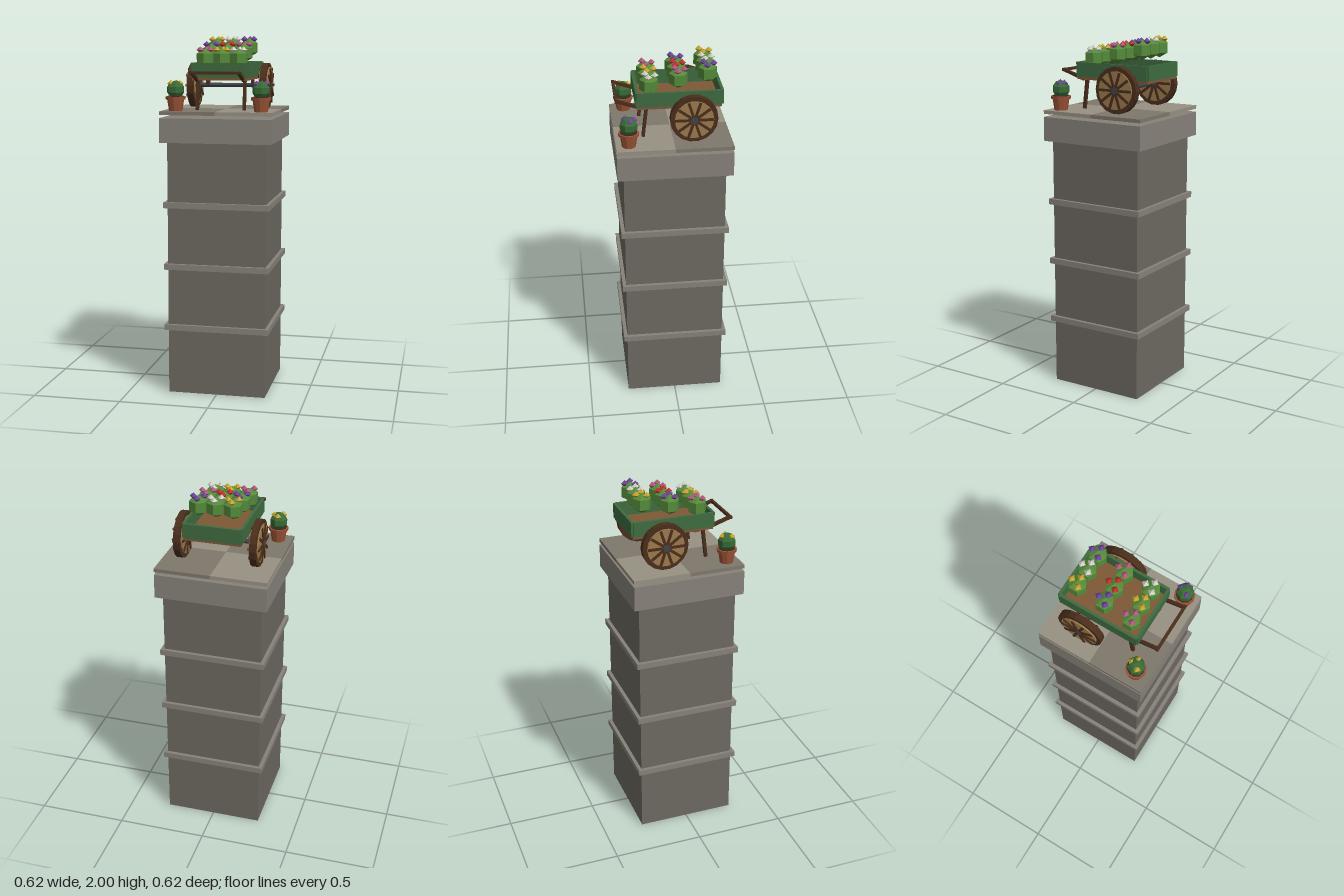
import * as THREE from 'three';

const C = {
  stone: 0x6d6961, trim: 0x87827a, tileLight: 0x989182, tileDark: 0x7f786c,
  green: 0x3f6b40, wood: 0x7d5836, dark: 0x4a2e1c, tan: 0x9c7a4c, iron: 0x3f444a,
  leaf: 0x558a3a, leafDark: 0x396b37, clay: 0x9a5236, soil: 0x3a2a1c,
  gold: 0xc9a630, white: 0xd2d0c8, purple: 0x6c4499, red: 0xc0302a, pink: 0xb2587f,
};
const mats = {};
const mat = (name) => (mats[name] ??= new THREE.MeshStandardMaterial({ color: C[name], flatShading: true }));

function add(parent, name, geometry, color, x = 0, y = 0, z = 0) {
  const mesh = new THREE.Mesh(geometry, mat(color));
  mesh.name = name;
  mesh.position.set(x, y, z);
  parent.add(mesh);
  return mesh;
}
const box = (w, h, d) => new THREE.BoxGeometry(w, h, d);
const cyl = (top, bottom, h, sides) => new THREE.CylinderGeometry(top, bottom, h, sides);

function group(parent, name, x = 0, y = 0, z = 0) {
  const g = new THREE.Group();
  g.name = name;
  g.position.set(x, y, z);
  parent.add(g);
  return g;
}

// Square bar between two points lying in a plane of constant x
function bar(parent, name, x, [y0, z0], [y1, z1], width) {
  const length = Math.hypot(y1 - y0, z1 - z0);
  const mesh = add(parent, name, box(width, length, width), 'dark', x, (y0 + y1) / 2, (z0 + z1) / 2);
  mesh.rotation.x = Math.atan2(z1 - z0, y1 - y0);
}

// Three diamond-shaped blossoms on top of a bush
function blossoms(parent, color, y, spots) {
  for (const [x, z] of spots) {
    add(parent, 'blossom', new THREE.OctahedronGeometry(0.021), color, x, y, z).scale.y = 0.9;
  }
}

function bedPlant(parent, x, y, z, color) {
  const plant = group(parent, 'bedPlant', x, y, z);
  const bush = add(plant, 'bush', new THREE.SphereGeometry(0.058, 6, 3), 'leaf');
  bush.rotation.y = Math.PI / 2;
  bush.scale.y = 0.95;
  blossoms(plant, color, 0.047, [[0, -0.032], [0.028, 0.005], [-0.025, 0.018]]);
}

function pottedPlant(parent, x, z, color) {
  const pot = group(parent, 'pottedPlant', x, 1.593, z);
  add(pot, 'pot', cyl(0.047, 0.037, 0.065, 10), 'clay', 0, 0.0325);
  add(pot, 'potRim', cyl(0.056, 0.054, 0.016, 10), 'clay', 0, 0.07);
  add(pot, 'potSoil', cyl(0.045, 0.045, 0.004, 10), 'soil', 0, 0.079);
  add(pot, 'potBush', new THREE.SphereGeometry(0.05, 7, 5), 'leafDark', 0, 0.115);
  blossoms(pot, color, 0.149, [[0, -0.026], [0.023, -0.003], [-0.021, 0.018]]);
}

function wheel(parent, x) {
  const w = group(parent, 'wheel', x, 1.7205, -0.106);
  const disc = (name, r, width, sides, color) => {
    add(w, name, cyl(r, r, width, sides), color).rotation.z = Math.PI / 2;
  };
  disc('tyre', 0.1275, 0.036, 18, 'dark');
  disc('wheelDisc', 0.104, 0.052, 18, 'tan');
  for (let i = 0; i < 5; i++) {
    add(w, 'spokePair', box(0.064, 0.014, 0.204), 'dark').rotation.x = (i * Math.PI) / 5;
  }
  disc('hub', 0.02, 0.068, 8, 'iron');
}

export function createModel() {
  const model = new THREE.Group();
  model.name = 'flowerCartOnPillar';

  // Pillar with bands and cap
  const pillar = group(model, 'pillar');
  add(pillar, 'shaft', box(0.55, 1.425, 0.55), 'stone', 0, 0.7125);
  for (const y of [0.381, 0.728, 1.075]) add(pillar, 'band', box(0.59, 0.032, 0.59), 'trim', 0, y);
  add(pillar, 'cap', box(0.62, 0.134, 0.62), 'trim', 0, 1.489);

  // Four paving tiles in a checker pattern, raised just above the cap
  for (const sx of [-1, 1]) {
    for (const sz of [-1, 1]) {
      add(pillar, 'tile', box(0.31, 0.02, 0.31), sx * sz > 0 ? 'tileLight' : 'tileDark', sx * 0.155, 1.583, sz * 0.155);
    }
  }

  // Cart bed: floor and four walls
  const cart = group(model, 'cart');
  add(cart, 'bedFloor', box(0.31, 0.018, 0.45), 'wood', 0, 1.766, -0.0375);
  for (const s of [-1, 1]) {
    add(cart, 'sideWall', box(0.015, 0.08, 0.45), 'green', s * 0.1555, 1.812, -0.036);
    add(cart, 'endWall', box(0.31, 0.08, 0.016), 'green', 0, 1.812, -0.0375 + s * 0.2255);
  }

  // Axle, wheels, legs and pull handle
  add(cart, 'axle', cyl(0.012, 0.012, 0.48, 8), 'iron', 0, 1.7205, -0.106).rotation.z = Math.PI / 2;
  for (const s of [-1, 1]) {
    wheel(cart, s * 0.2075);
    bar(cart, 'leg', s * 0.132, [1.762, 0.137], [1.594, 0.157], 0.017);
    bar(cart, 'handleArm', s * 0.13, [1.757, 0.16], [1.803, 0.3], 0.017);
    add(cart, 'axleBracket', box(0.017, 0.04, 0.03), 'dark', s * 0.13, 1.741, -0.106);
  }
  add(cart, 'handleBar', box(0.284, 0.015, 0.015), 'dark', 0, 1.801, 0.296);

  // Stepped rows of flowering plants, back to front
  const rows = [
    [1.931, -0.19, ['gold', 'white', 'purple']],
    [1.903, -0.035, ['purple', 'red', 'pink']],
    [1.875, 0.12, ['pink', 'gold', 'white']],
  ];
  for (const [y, z, colors] of rows) {
    colors.forEach((color, i) => bedPlant(cart, (i - 1) * 0.0935, y, z, color));
  }

  // Potted plants at the front corners
  pottedPlant(model, -0.235, 0.235, 'gold');
  pottedPlant(model, 0.241, 0.241, 'purple');
  return model;
}
